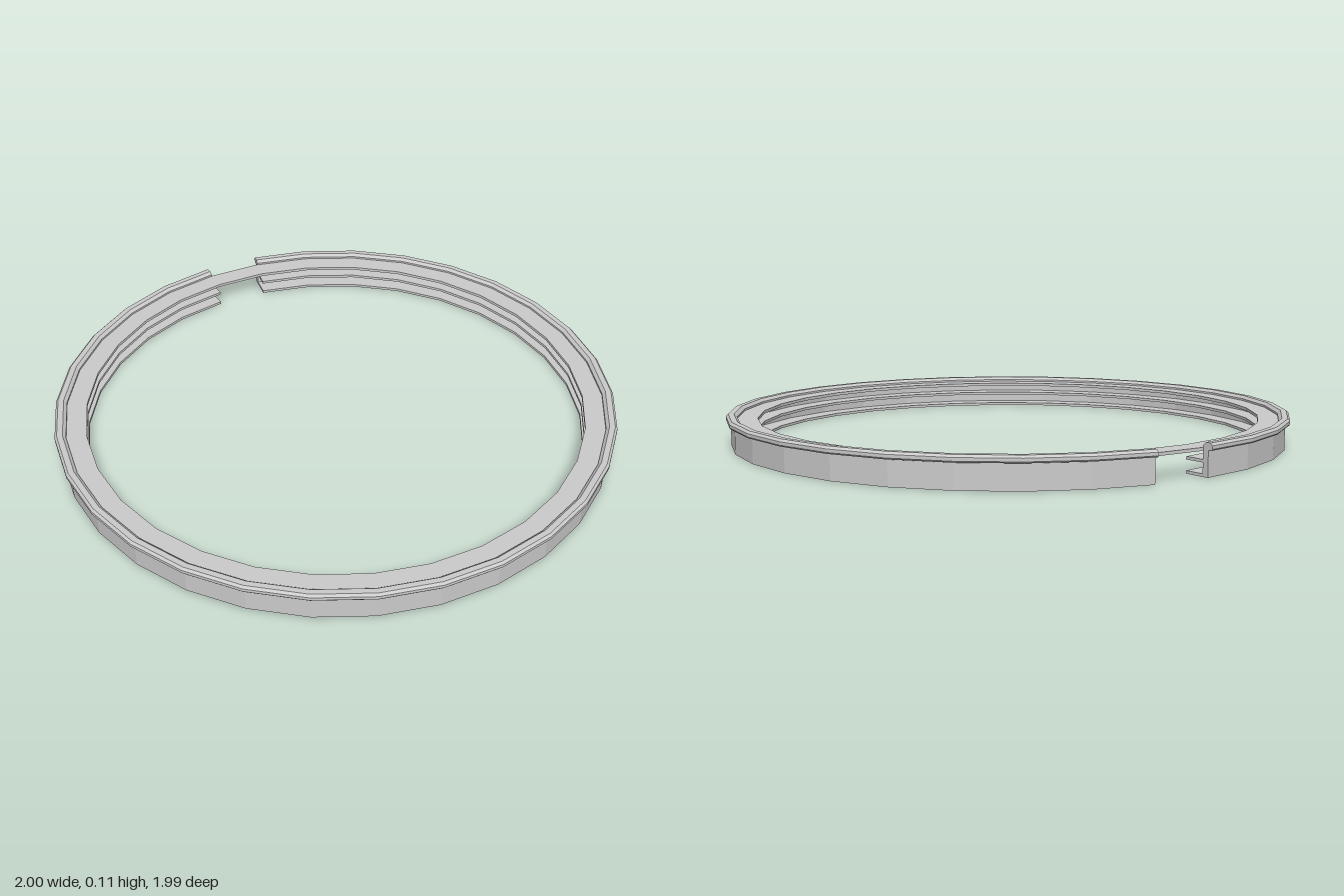
import * as THREE from 'three';

const SEGMENTS = 30;
const STEP = (Math.PI * 2) / SEGMENTS;
const GAP_END = THREE.MathUtils.degToRad(-102); // the split is one segment wide

const material = new THREE.MeshStandardMaterial({ color: 0xcccccc, flatShading: true });
const capMaterial = new THREE.MeshStandardMaterial({
  color: 0xcccccc, flatShading: true, side: THREE.DoubleSide,
});

// Revolve a closed counter-clockwise (radius, height) profile
function revolve(name, profile, segments, start) {
  const points = [...profile, profile[0]].map(([r, y]) => new THREE.Vector2(r, y));
  const mesh = new THREE.Mesh(new THREE.LatheGeometry(points, segments, start, segments * STEP), material);
  mesh.name = name;
  return mesh;
}

// Flat face that closes a cut end of a revolved profile
function endCap(name, profile, angle) {
  const shape = new THREE.Shape(profile.map(([r, y]) => new THREE.Vector2(r, y)));
  const mesh = new THREE.Mesh(new THREE.ShapeGeometry(shape), capMaterial);
  mesh.rotation.y = angle - Math.PI / 2;
  mesh.name = name;
  return mesh;
}

export function createModel() {
  const group = new THREE.Group();
  group.name = 'splitRing';

  // Channel: outer wall with rounded rim, middle flange and bottom flange
  const channel = [
    [0.89, 0], [0.983, 0], [0.983, 0.086],
    [0.996, 0.086], [1.0, 0.091], [1.0, 0.102], [0.992, 0.11],
    [0.972, 0.11], [0.961, 0.1], [0.961, 0.055],
    [0.89, 0.055], [0.89, 0.045], [0.961, 0.045],
    [0.961, 0.01], [0.89, 0.01],
  ];
  group.add(revolve('channelRing', channel, SEGMENTS - 1, GAP_END));
  group.add(endCap('channelEndA', channel, GAP_END));
  group.add(endCap('channelEndB', channel, GAP_END - STEP));

  // Closed upper flange that bridges the split
  const flange = [[0.89, 0.082], [0.963, 0.082], [0.963, 0.093], [0.89, 0.093]];
  group.add(revolve('upperFlange', flange, SEGMENTS, GAP_END));

  return group;
}
